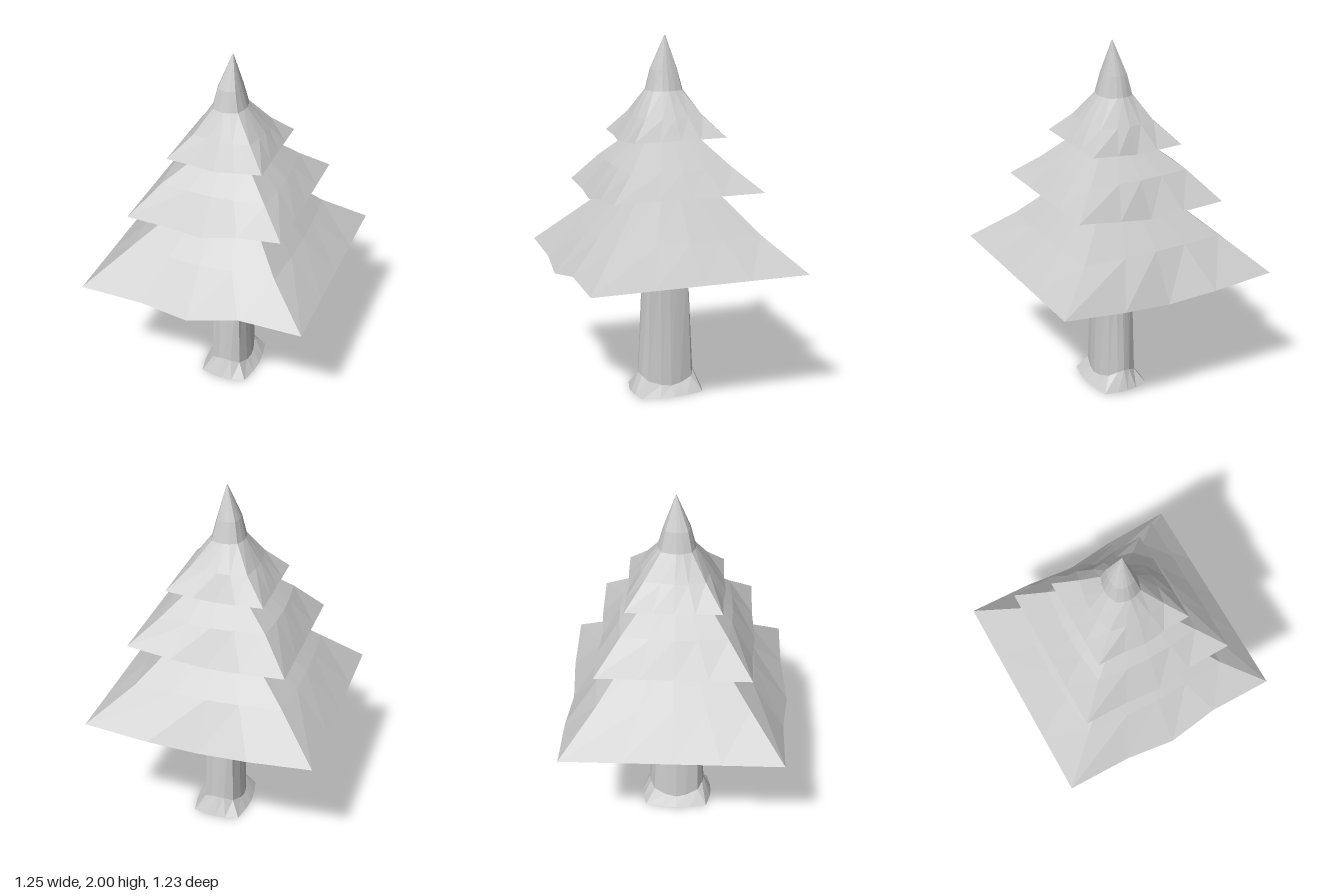
import * as THREE from 'three';

const material = new THREE.MeshStandardMaterial({ color: 0xcccccc, flatShading: true });
const STEPS = [0, 0.28, 0.5, 0.72];
const ROUND = [0, 0.75, 1, 0.75];
const POINTED = [0, 0, 1, 0];

// Four-sided ring: x and z give the corner bounds, bulge pushes out the
// middle of the front, +x, back and -x sides; y is a number or (side, step) => height.
function ring(x, z, y, bulge = [0, 0, 0, 0], profile = ROUND) {
  const corners = [[x[0], z[1]], [x[1], z[1]], [x[1], z[0]], [x[0], z[0]]];
  const out = [[0, 1], [1, 0], [0, -1], [-1, 0]];
  const points = [];
  for (let s = 0; s < 4; s++) {
    const a = corners[s], b = corners[(s + 1) % 4];
    STEPS.forEach((t, k) => {
      const push = bulge[s] * profile[k];
      points.push([
        a[0] + (b[0] - a[0]) * t + out[s][0] * push,
        typeof y === 'number' ? y : y(s, k),
        a[1] + (b[1] - a[1]) * t + out[s][1] * push,
      ]);
    });
  }
  return points;
}

// Joins rings from bottom to top and closes both ends
function loft(name, rings) {
  const n = rings[0].length;
  const positions = rings.flat(2);
  const index = [];
  for (let r = 0; r < rings.length - 1; r++) {
    for (let i = 0; i < n; i++) {
      const j = (i + 1) % n;
      const a = r * n + i, b = r * n + j;
      index.push(a, b, b + n, a, b + n, a + n);
    }
  }
  // Each cap fans out from halfway between the middles of front and back
  const addCap = (r, up) => {
    const centre = positions.length / 3;
    for (let c = 0; c < 3; c++) positions.push((rings[r][2][c] + rings[r][10][c]) / 2);
    for (let i = 0; i < n; i++) {
      const a = r * n + i, b = r * n + (i + 1) % n;
      index.push(centre, up ? a : b, up ? b : a);
    }
  };
  addCap(0, false);
  addCap(rings.length - 1, true);
  const geometry = new THREE.BufferGeometry();
  geometry.setAttribute('position', new THREE.Float32BufferAttribute(positions, 3));
  geometry.setIndex(index);
  geometry.computeVertexNormals();
  const mesh = new THREE.Mesh(geometry, material);
  mesh.name = name;
  return mesh;
}

// Uneven lower edge: heights along the front and back, from -x to +x
function rim(x, z, front, back, bulge) {
  const height = (s, k) => [front[k], front[4], back[4 - k], front[0]][s];
  return ring(x, z, height, bulge, POINTED);
}

const even = (b) => [b, b, b, b];

export function createModel() {
  const tree = new THREE.Group();
  tree.name = 'pineTree';

  // Trunk with a flared foot
  const flareTop = (s, k) => 0.08 + (s % 2 ? -0.03 : 0.03) * ROUND[k];
  tree.add(loft('trunk', [
    ring([-0.1, 0.165], [-0.19, 0.165], 0, [0.026, 0.026, 0.026, 0.026]),
    ring([-0.052, 0.114], [-0.14, 0.114], flareTop, [0.033, 0.028, 0.032, 0.034]),
    ring([-0.042, 0.1], [-0.12, 0.1], 0.76, [0.012, 0.014, 0.018, 0.02]),
  ]));

  // Lower branches
  tree.add(loft('lowerBranches', [
    rim([-0.625, 0.625], [-0.615, 0.58],
      [0.76, 0.75, 0.73, 0.79, 0.785], [0.76, 0.735, 0.715, 0.745, 0.785], [0.03, 0, -0.02, 0]),
    ring([-0.41, 0.41], [-0.425, 0.395], 0.96, even(0.025)),
    ring([-0.18, 0.222], [-0.245, 0.205], 1.17, even(0.012)),
    ring([-0.1, 0.14], [-0.16, 0.12], 1.25),
  ]));

  // Middle branches
  tree.add(loft('middleBranches', [
    rim([-0.42, 0.44], [-0.43, 0.4],
      [1.155, 1.145, 1.135, 1.175, 1.2], [1.155, 1.145, 1.135, 1.165, 1.2], [0.015, 0, -0.01, 0]),
    ring([-0.275, 0.305], [-0.295, 0.27], 1.32, even(0.022)),
    ring([-0.11, 0.165], [-0.16, 0.145], 1.46, even(0.01)),
    ring([-0.06, 0.1], [-0.1, 0.08], 1.53),
  ]));

  // Top branches and tip
  tree.add(loft('topBranches', [
    rim([-0.255, 0.275], [-0.275, 0.238],
      [1.458, 1.452, 1.445, 1.455, 1.475], [1.458, 1.452, 1.445, 1.46, 1.475], [0.012, 0, -0.01, 0]),
    ring([-0.14, 0.175], [-0.175, 0.145], 1.58, even(0.025)),
    ring([-0.06, 0.08], [-0.09, 0.07], 1.71, even(0.022)),
    ring([-0.04, 0.058], [-0.068, 0.05], 1.82, even(0.014)),
    ring([0.018, 0.022], [-0.016, -0.012], 2),
  ]));

  return tree;
}
